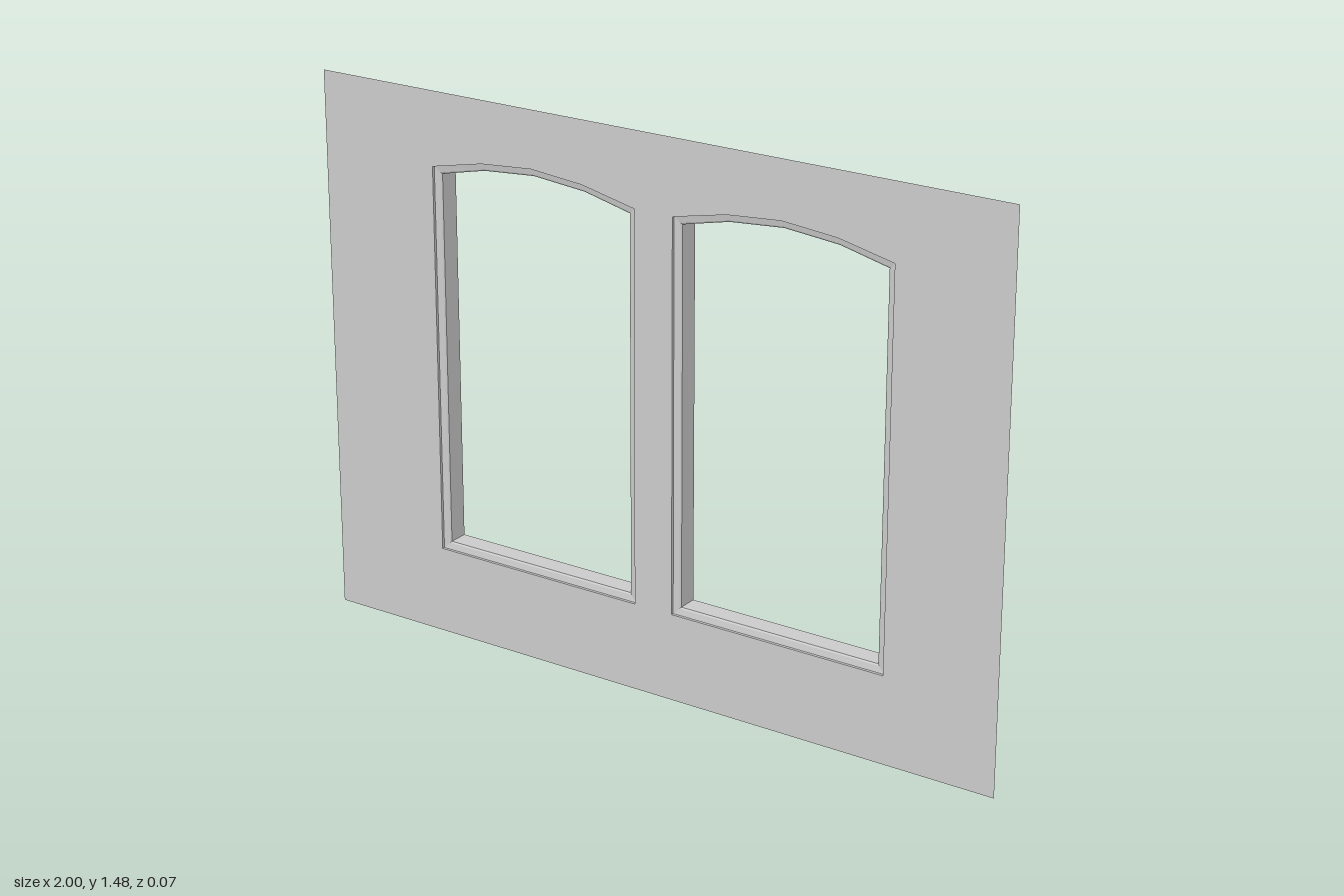
import * as THREE from 'three';

const FRONT = 0.0335, BACK = -0.0335;

// Window outline (counter-clockwise), shrunk by an inset: sill, jambs and a four-piece arch
function outline(cx, inset) {
  const w = 0.3075 - inset, q = 0.153;
  return [
    [-w, 0.238 + inset], [w, 0.238 + inset],
    [w, 1.286 - inset * 0.9], [q, 1.319 - inset], [0, 1.332 - inset],
    [-q, 1.319 - inset], [-w, 1.286 - inset * 0.9],
  ].map(([x, y]) => new THREE.Vector2(cx + x, y));
}

// Frame cross-section from the wall to the back: [inset, z]
const PROFILE = [
  [0, FRONT], [0, 0.026], [0.017, 0.023], [0.021, 0.02], [0.021, BACK],
];

// Sweep the cross-section round the outline
function frameGeometry(cx) {
  const rings = PROFILE.map(([inset, z]) =>
    outline(cx, inset).map((p) => [p.x, p.y, z]));
  const n = rings[0].length, pos = [];
  for (let r = 0; r < rings.length - 1; r++) {
    for (let i = 0; i < n; i++) {
      const j = (i + 1) % n;
      const a = rings[r][i], b = rings[r][j], c = rings[r + 1][j], d = rings[r + 1][i];
      pos.push(...a, ...d, ...b, ...b, ...d, ...c);
    }
  }
  const g = new THREE.BufferGeometry();
  g.setAttribute('position', new THREE.Float32BufferAttribute(pos, 3));
  g.computeVertexNormals();
  return g;
}

export function createModel() {
  const model = new THREE.Group();
  model.name = 'windowWall';
  const material = new THREE.MeshStandardMaterial({
    color: 0xcccccc, flatShading: true, side: THREE.DoubleSide,
  });
  const centres = { rightWindowFrame: -0.3485, leftWindowFrame: 0.3785 };

  // Thin wall sheet with two arched openings
  const sheet = new THREE.Shape([
    new THREE.Vector2(-1, 0), new THREE.Vector2(1, 0),
    new THREE.Vector2(1, 1.484), new THREE.Vector2(-1, 1.484),
  ]);
  for (const cx of Object.values(centres)) {
    sheet.holes.push(new THREE.Path(outline(cx, 0).reverse()));
  }
  const wall = new THREE.Mesh(new THREE.ShapeGeometry(sheet), material);
  wall.name = 'wall';
  wall.position.z = FRONT;
  model.add(wall);

  // Stepped frames reaching back from the openings
  for (const [name, cx] of Object.entries(centres)) {
    const frame = new THREE.Mesh(frameGeometry(cx), material);
    frame.name = name;
    model.add(frame);
  }
  return model;
}
